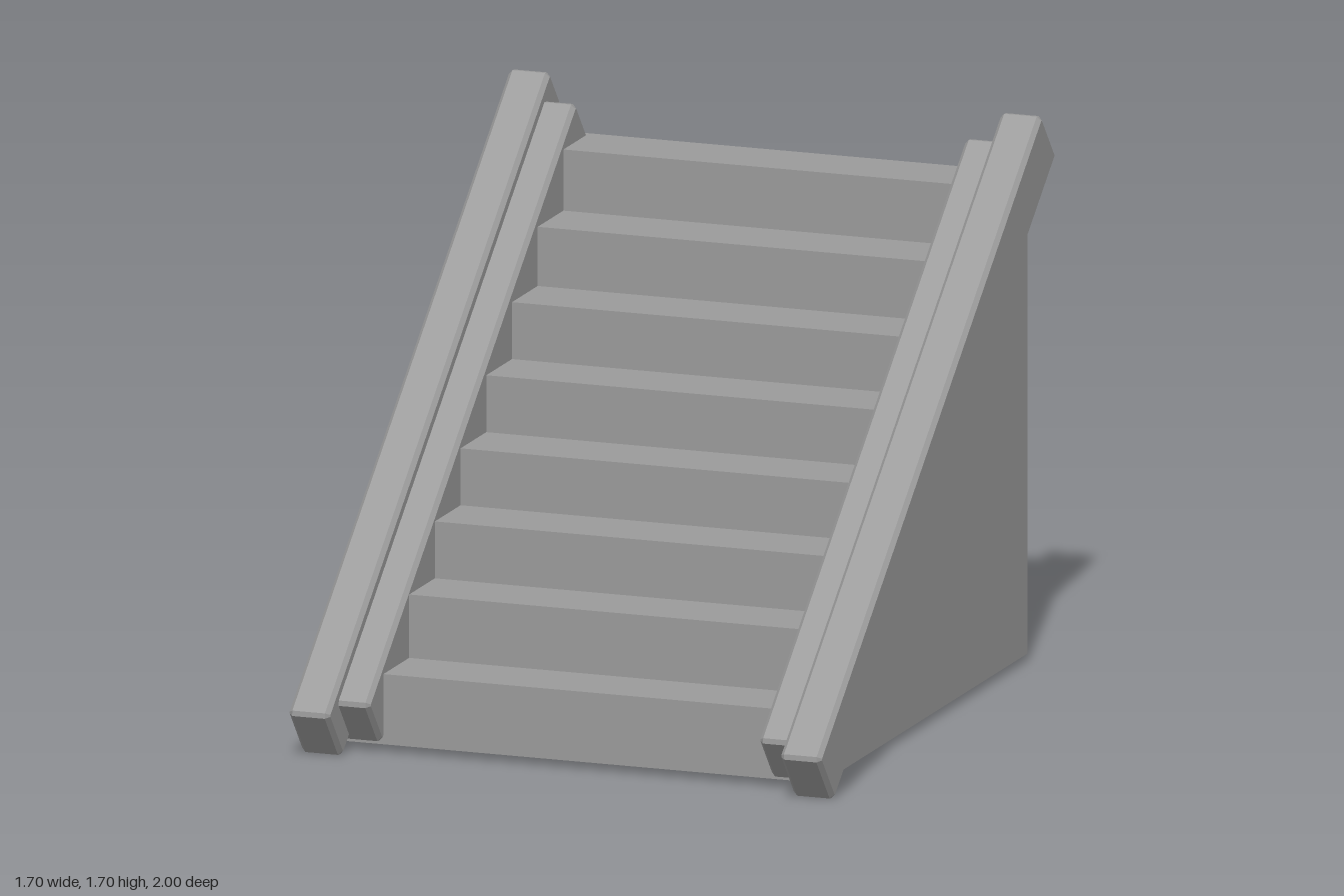
import * as THREE from 'three';

const SLOPE = THREE.MathUtils.degToRad(39.5);
const material = new THREE.MeshStandardMaterial({ color: 0x9a9a9a, flatShading: true });

// Chamfered beam running up the slope, between two x positions
function beam(name, x0, x1, length, thickness, y, z, chamfer) {
  const a = length / 2 - chamfer, b = thickness / 2 - chamfer, c = 0.004;
  const shape = new THREE.Shape([
    [-a + c, -b], [a - c, -b], [a, -b + c], [a, b - c],
    [a - c, b], [-a + c, b], [-a, b - c], [-a, -b + c],
  ].map(([u, v]) => new THREE.Vector2(u, v)));
  const depth = x1 - x0 - 2 * chamfer;
  const geometry = new THREE.ExtrudeGeometry(shape, {
    depth, bevelEnabled: true, bevelThickness: chamfer, bevelSize: chamfer, bevelSegments: 1,
  });
  geometry.translate(0, 0, -depth / 2);
  geometry.rotateZ(SLOPE);
  geometry.rotateY(Math.PI / 2);
  const mesh = new THREE.Mesh(geometry, material);
  mesh.name = name;
  mesh.position.set((x0 + x1) / 2, y, z);
  return mesh;
}

// Solid flight: stepped profile extruded across the width
function flight() {
  const base = 0.027, front = 0.798, back = -0.952, halfWidth = 0.778;
  const treads = [0.243, 0.438, 0.613, 0.788, 0.963, 1.138, 1.32, 1.508];
  const run = (front - back) / treads.length;
  const shape = new THREE.Shape();
  shape.moveTo(-back, base);
  treads.slice().reverse().forEach((y, i) => {
    shape.lineTo(-back - i * run, y);
    shape.lineTo(-back - (i + 1) * run, y);
  });
  shape.lineTo(-front, base);
  const geometry = new THREE.ExtrudeGeometry(shape, { depth: 2 * halfWidth, bevelEnabled: false });
  geometry.translate(0, 0, -halfWidth);
  geometry.rotateY(Math.PI / 2);
  const mesh = new THREE.Mesh(geometry, material);
  mesh.name = 'steps';
  return mesh;
}

export function createModel() {
  const model = new THREE.Group();
  model.name = 'staircase';
  model.add(flight());

  // Tall outer kerb and lower inner kerb on each side
  for (const side of [1, -1]) {
    const label = side > 0 ? 'left' : 'right';
    const outer = beam(label + 'OuterKerb', 0.72, 0.85, 2.45, 0.2, 0.853, 0, 0.013);
    const inner = beam(label + 'InnerKerb', 0.622, 0.8, 2.29, 0.185, 0.83, -0.017, 0.013);
    for (const part of [outer, inner]) {
      part.position.x *= side;
      model.add(part);
    }
  }
  return model;
}
